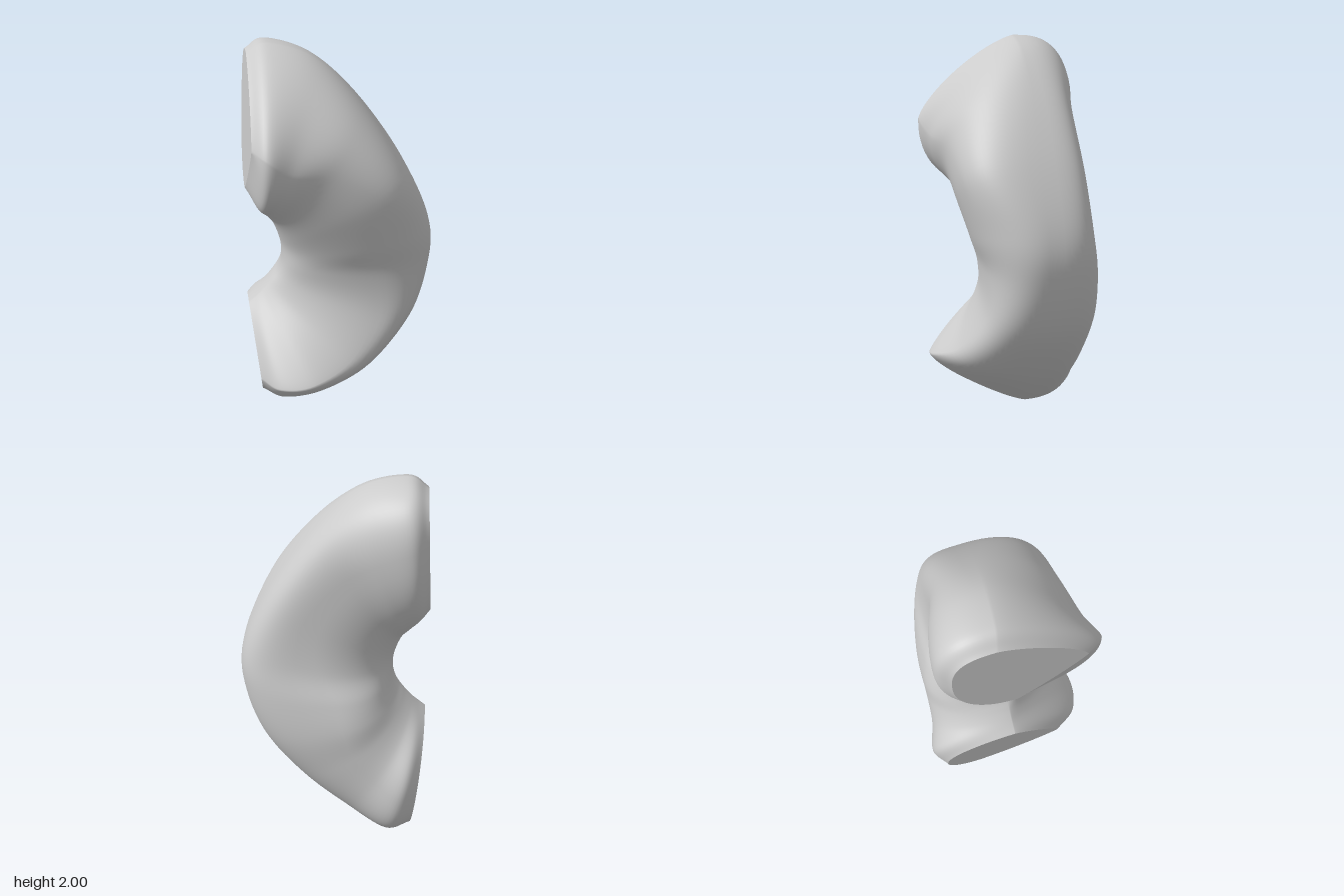
import * as THREE from 'three';

// Cross-sections from the upper cut round to the lower cut:
// outer x,y | inner x,y | z of outer tip | front z, t | back z, t | roundness outer-front, inner-front, outer-back
// (t runs from 0 at the inner curve to 1 at the outer curve; roundness 1 = ellipse, 2 = straight)
const SECTIONS = [
  [-0.44, 1.95, -0.475, 1.28, -0.1, 0.34, 0.48, -0.31, 0.6, 1.5, 1.8, 0.7],
  [-0.34, 2.0, -0.43, 1.22, -0.08, 0.43, 0.45, -0.37, 0.6, 1.5, 0.9, 0.75],
  [-0.12, 1.93, -0.385, 1.16, -0.06, 0.4, 0.42, -0.35, 0.6, 1.3, 1.0, 0.8],
  [0.1, 1.72, -0.345, 1.1, -0.04, 0.36, 0.55, -0.29, 0.6, 0.95, 1.0, 0.6],
  [0.32, 1.4, -0.315, 1.02, 0.0, 0.34, 0.68, -0.28, 0.6, 0.75, 1.0, 0.5],
  [0.46, 1.08, -0.3, 0.95, 0.0, 0.28, 0.6, -0.3, 0.5, 0.9, 1.0, 0.55],
  [0.468, 0.84, -0.3, 0.87, 0.0, 0.23, 0.6, -0.35, 0.38, 0.85, 0.9, 0.65],
  [0.38, 0.56, -0.32, 0.8, 0.0, 0.24, 0.72, -0.38, 0.37, 0.8, 1.0, 0.72],
  [0.18, 0.31, -0.36, 0.745, -0.06, 0.33, 0.74, -0.38, 0.45, 0.95, 1.4, 0.8],
  [-0.05, 0.12, -0.4, 0.7, -0.1, 0.42, 0.62, -0.39, 0.5, 1.4, 1.7, 0.85],
  [-0.27, 0.0, -0.44, 0.66, -0.12, 0.39, 0.52, -0.43, 0.52, 1.6, 1.7, 0.8],
  [-0.41, 0.03, -0.475, 0.63, -0.18, 0.27, 0.52, -0.37, 0.57, 1.5, 1.6, 0.9],
];
const AROUND = 72, ALONG = 88;

// One closed ring made of four rounded quarters between the extreme points
function ring([ox, oy, ix, iy, zo, zf, tf, zb, tb, ef, ei, eb]) {
  return Array.from({ length: AROUND }, (_, j) => {
    const a = (j / AROUND) * Math.PI * 2, c = Math.cos(a), s = Math.sin(a);
    const front = s >= 0, outer = c >= 0;
    const e = outer ? (front ? ef : eb) : (front ? ei : 0.95);
    const tSide = front ? tf : tb, zTip = outer ? zo : 0, zSide = front ? zf : zb;
    const t = tSide + ((outer ? 1 : 0) - tSide) * Math.abs(c) ** e;
    const z = zTip + (zSide - zTip) * Math.abs(s) ** e;
    return new THREE.Vector3(ix + (ox - ix) * t, iy + (oy - iy) * t, z);
  });
}

function geometryFrom(points, index) {
  const g = new THREE.BufferGeometry().setFromPoints(points);
  g.setIndex(index);
  g.computeVertexNormals();
  return g;
}

// Flat fan closing one end
function capGeometry(points, flip) {
  const center = points.reduce((sum, p) => sum.add(p), new THREE.Vector3()).divideScalar(AROUND);
  const index = [];
  for (let j = 0; j < AROUND; j++) {
    const k = (j + 1) % AROUND;
    index.push(AROUND, flip ? k : j, flip ? j : k);
  }
  return geometryFrom([...points, center], index);
}

export function createModel() {
  const group = new THREE.Group();
  group.name = 'curvedSegment';
  const material = new THREE.MeshStandardMaterial({ color: 0xcccccc, roughness: 0.8 });
  const add = (name, geometry) => {
    const mesh = new THREE.Mesh(geometry, material);
    mesh.name = name;
    group.add(mesh);
  };

  // Smooth lengthwise curves through matching points of every ring
  const rings = SECTIONS.map(ring);
  const strands = rings[0].map((_, j) => new THREE.CatmullRomCurve3(rings.map((r) => r[j]), false, 'catmullrom', 0.5));
  const points = [], index = [];
  for (let i = 0; i <= ALONG; i++) {
    strands.forEach((strand, j) => {
      points.push(strand.getPoint(i / ALONG));
      if (i === ALONG) return;
      const a = i * AROUND + j, b = i * AROUND + ((j + 1) % AROUND);
      index.push(a, b, a + AROUND, b, b + AROUND, a + AROUND);
    });
  }
  add('curvedBody', geometryFrom(points, index));

  // Cut ends
  add('upperCutFace', capGeometry(points.slice(0, AROUND), true));
  add('lowerCutFace', capGeometry(points.slice(-AROUND), false));
  return group;
}
